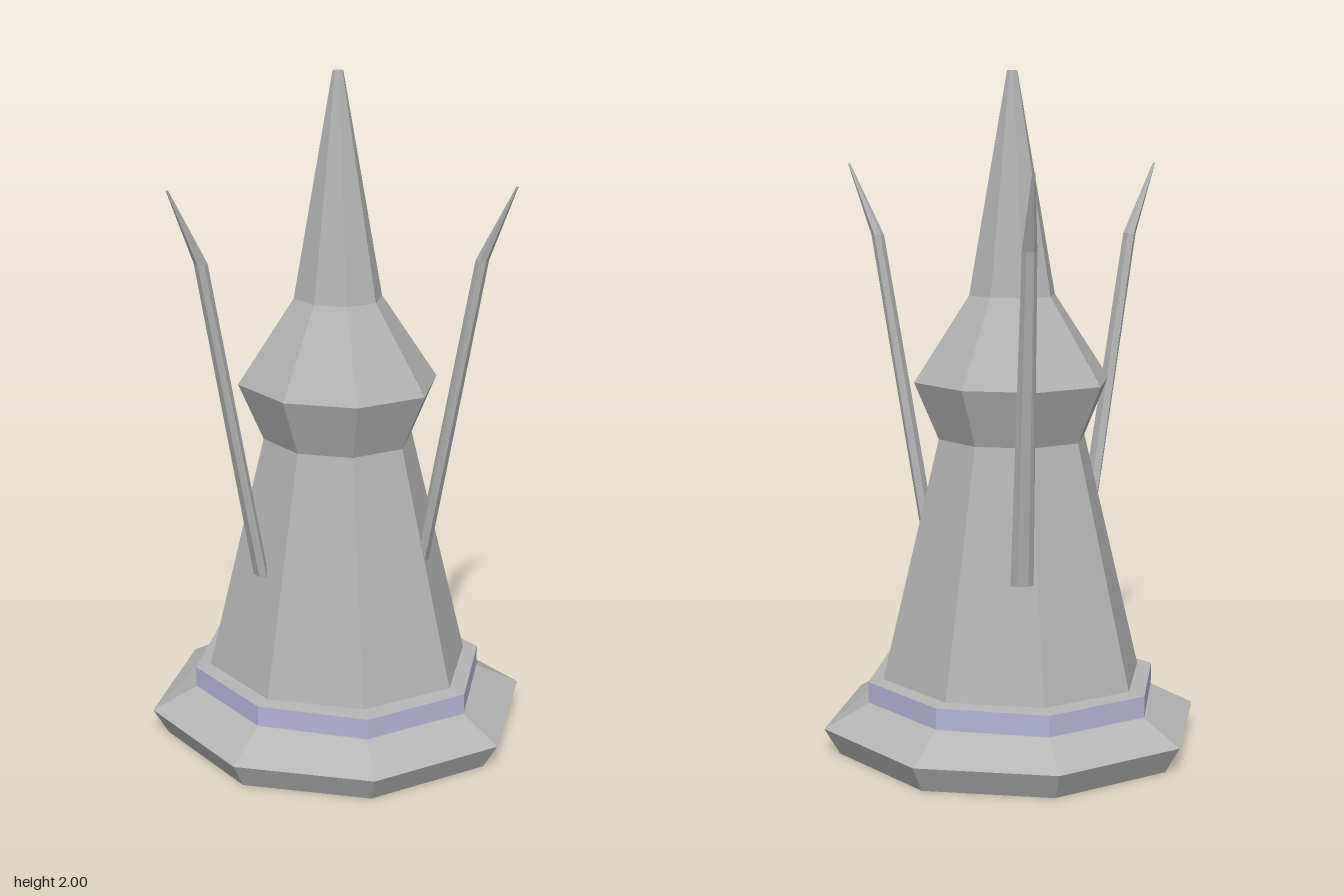
import * as THREE from 'three';

const CZ = 0.02; // tower axis sits slightly forward

// Flat-shaded skin over closed sections listed from bottom to top
function loft(sections, capBottom = true, capTop = true) {
  const pos = [];
  const tri = (a, b, c) => pos.push(...a, ...b, ...c);
  const n = sections[0].length;
  for (let s = 0; s < sections.length - 1; s++) {
    const lo = sections[s], hi = sections[s + 1];
    for (let i = 0; i < n; i++) {
      const j = (i + 1) % n;
      tri(lo[i], hi[i], hi[j]);
      tri(lo[i], hi[j], lo[j]);
    }
  }
  const first = sections[0], last = sections[sections.length - 1];
  for (let i = 1; i < n - 1; i++) {
    if (capBottom) tri(first[0], first[i], first[i + 1]);
    if (capTop) tri(last[0], last[i + 1], last[i]);
  }
  const g = new THREE.BufferGeometry();
  g.setAttribute('position', new THREE.Float32BufferAttribute(pos, 3));
  g.computeVertexNormals();
  return g;
}

// Octagon from four corners, mirrored through the axis
function octagon(half, y, scale = 1) {
  return [...half, ...half.map(([x, z]) => [-x, -z])]
    .map(([x, z]) => [x * scale, y, z * scale + CZ]);
}

const BASE = [[-0.206, -0.467], [0.205, -0.474], [0.531, -0.207], [0.52, 0.204]];
const RING = [[-0.164, -0.363], [0.163, -0.353], [0.407, -0.157], [0.413, 0.157]];
const TOWER = [[-0.39, -0.86], [0.39, -0.86], [1, -0.376], [1, 0.376]];

export function createModel() {
  const stone = new THREE.MeshStandardMaterial({ color: 0xb4b4b4, flatShading: true });
  stone.name = 'grey stone';
  const band = new THREE.MeshStandardMaterial({ color: 0xb4b4d8, flatShading: true });
  band.name = 'pale blue band';

  const model = new THREE.Group();
  const add = (name, geometry, material) => {
    const mesh = new THREE.Mesh(geometry, material);
    mesh.name = name;
    model.add(mesh);
  };

  // Bevelled plinth
  add('plinth', loft([
    octagon(BASE, 0, 0.92), octagon(BASE, 0.08), octagon(RING, 0.15),
  ]), stone);

  // Coloured band around the foot of the tower
  add('band', loft([octagon(RING, 0.152), octagon(RING, 0.215)], true, false), band);

  // Ledge, tapering body, bulge and spire
  const profile = [[0.366, 0.22], [0.205, 0.94], [0.272, 1.11], [0.119, 1.36], [0.014, 2]];
  add('tower', loft([
    octagon(RING, 0.215),
    ...profile.map(([w, y]) => octagon(TOWER, y, w)),
  ], false, true), stone);

  // Three bent spikes: [radius, height, half width, half depth]
  const spike = [
    [0.268, 0.56, 0.033, 0.018],
    [0.44, 1.52, 0.021, 0.018],
    [0.534, 1.73, 0.004, 0.003],
  ];
  for (let k = 0; k < 3; k++) {
    const a = THREE.MathUtils.degToRad(15 + 120 * k);
    const c = Math.cos(a), s = Math.sin(a);
    const sections = spike.map(([r, y, w, d]) =>
      Array.from({ length: 6 }, (_, i) => {
        const t = (i * Math.PI) / 3;
        const out = r + d * Math.sin(t), side = w * -Math.cos(t);
        return [c * out - s * side, y, s * out + c * side + CZ];
      }).reverse());
    // Keep the faces pointing outward
    const p = sections[0];
    const area = p.reduce((sum, q, i) => {
      const n = p[(i + 1) % 6];
      return sum + q[0] * n[2] - n[0] * q[2];
    }, 0);
    if (area < 0) sections.forEach((ring) => ring.reverse());
    add('spike' + (k + 1), loft(sections), stone);
  }
  return model;
}
